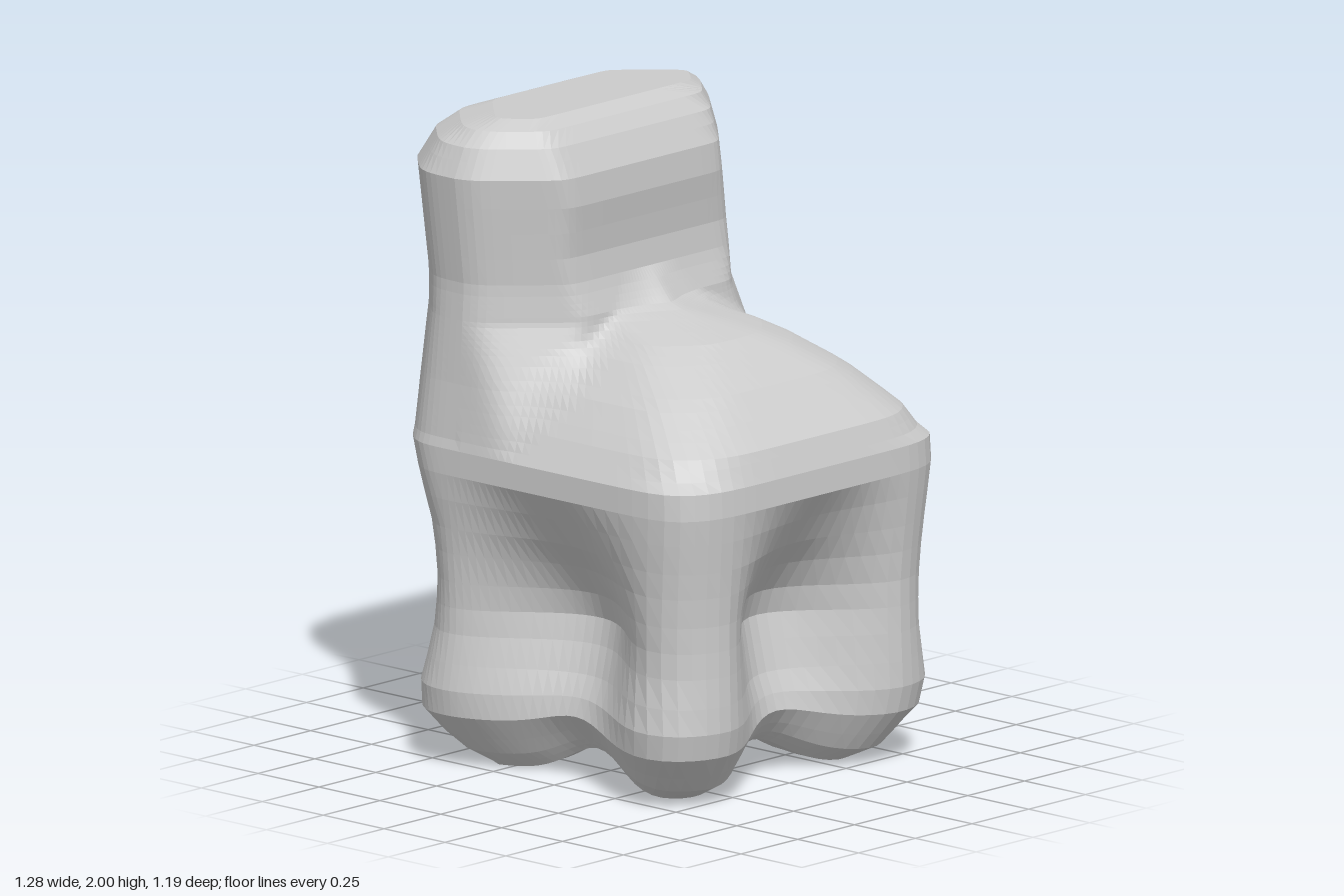
import * as THREE from 'three';

// Piecewise-linear profile lookup: points are [y, value] pairs with rising y
function at(points, y) {
  if (y <= points[0][0]) return points[0][1];
  for (let i = 1; i < points.length; i++) {
    const [y0, v0] = points[i - 1], [y1, v1] = points[i];
    if (y <= y1) return v0 + (v1 - v0) * (y - y0) / (y1 - y0);
  }
  return points[points.length - 1][1];
}

// Base and seat outline by height
const seatLeft = [[0, -0.4], [0.05, -0.48], [0.1, -0.53], [0.17, -0.565], [0.25, -0.56], [0.4, -0.53], [0.6, -0.51], [0.75, -0.525], [0.95, -0.575], [1, -0.59], [1.02, -0.4]];
const seatRight = [[0, 0.44], [0.05, 0.53], [0.17, 0.605], [0.25, 0.62], [0.6, 0.615], [0.8, 0.63], [0.92, 0.64], [1, 0.635], [1.09, 0.6], [1.23, 0.45], [1.34, 0.28], [1.41, 0.0], [1.5, -0.12]];
const seatDepth = [[0, 0.43], [0.05, 0.49], [0.17, 0.58], [0.25, 0.59], [0.45, 0.56], [0.7, 0.575], [0.9, 0.597], [1, 0.595], [1.1, 0.53], [1.2, 0.44], [1.3, 0.32], [1.37, 0.2], [1.41, 0.12], [1.5, 0.06]];

// Backrest outline by height
const backLeft = [[1, -0.59], [1.2, -0.61], [1.5, -0.63], [1.84, -0.64], [1.93, -0.6], [1.975, -0.55], [2, -0.48]];
const backRight = [[1, 0], [1.41, -0.04], [1.5, -0.07], [1.6, -0.08], [1.75, -0.06], [1.84, -0.065], [1.93, -0.11], [1.975, -0.15], [2, -0.21]];
const backFront = [[1, 0.59], [1.2, 0.57], [1.5, 0.55], [1.84, 0.59], [1.93, 0.55], [1.975, 0.5], [2, 0.42]];
const backRear = [[1, 0.59], [1.2, 0.575], [1.5, 0.555], [1.7, 0.53], [1.84, 0.51], [1.93, 0.48], [1.975, 0.45], [2, 0.41]];

// Depth of the hollows between the legs
const hollow = [[0, 0.12], [0.15, 0.13], [0.3, 0.18], [0.5, 0.22], [0.6, 0.19], [0.75, 0.09], [0.92, 0]];

const CX = -0.3, SIDES = 144;
const bell = (v, w) => Math.exp(-((v / w) ** 2));
const dip = (v, w) => Math.abs(v) < w ? Math.cos(v / w * Math.PI / 2) ** 2 : 0;

// Distance from the axis to a softly chamfered rectangle
function chamferedRadius(c, s, x0, x1, front, rear, cut) {
  const a = c > 0 ? x1 - CX : CX - x0, b = s > 0 ? front : rear, n = 26;
  const u = Math.abs(c), v = Math.abs(s);
  const k = Math.min(cut, Math.min(a, b) * 0.9);
  return ((u / a) ** n + (v / b) ** n + ((u + v) / (a + b - k)) ** n) ** (-1 / n);
}

function smoothMax(a, b, k) {
  const h = Math.max(k - Math.abs(a - b), 0) / k;
  return Math.max(a, b) + h * h * k / 4;
}

// Raised arches under the body that leave four feet
const archLift = (x, z) => 0.09 * bell(x - 0.03, 0.14) + 0.11 * bell(z, 0.17);

// Outline of the chair at one height
function section(y) {
  const ring = [];
  const depth = at(hollow, y), d = at(seatDepth, y);
  for (let i = 0; i < SIDES; i++) {
    const t = i / SIDES * Math.PI * 2, c = Math.cos(t), s = Math.sin(t);
    const seat = chamferedRadius(c, s, at(seatLeft, y), at(seatRight, y), d, d, y > 1 ? 0.13 : 0.1);
    const cut = 0.1 + (c > 0 ? 0.14 : 0.07) * Math.min(1, Math.max(0, (y - 1) / 0.4));
    const back = chamferedRadius(c, s, at(backLeft, y), at(backRight, y), at(backFront, y), at(backRear, y), cut);
    let r = seat;
    if (y > 1.5) r = back;
    else if (y > 1) r = smoothMax(seat, back, 0.01 + 0.12 * Math.min(1, (y - 1) / 0.25));
    let x = CX + r * c, z = r * s;
    // Press the hollows into all four sides
    const zPush = depth * dip(x - 0.04, 0.43) * Math.min(1, (z / 0.5) ** 2);
    const xPush = depth * dip(z, 0.41) * Math.min(1, ((x - 0.03) / 0.5) ** 2) * (x > 0 ? 1.15 : 0.9);
    z -= Math.sign(z) * zPush;
    x -= Math.sign(x - 0.03) * xPush;
    ring.push([x, y + archLift(x, z) * Math.max(0, 1 - y / 0.3), z]);
  }
  return ring;
}

function bodyGeometry() {
  const heights = [0.002, 0.025, 0.05, 0.1, 0.17, 0.25, 0.33, 0.42, 0.5, 0.58, 0.67, 0.75, 0.84, 0.92, 1,
    1.03, 1.06, 1.09, 1.13, 1.16, 1.2, 1.23, 1.27, 1.3, 1.32, 1.34, 1.36, 1.38, 1.395, 1.41, 1.43, 1.45, 1.475, 1.51,
    1.59, 1.67, 1.75, 1.84, 1.89, 1.93, 1.975, 2];
  const sides = heights.map(section);
  const rings = [];
  // Underside, closing in towards the middle
  for (const k of [0, 0.2, 0.4, 0.6, 0.8]) {
    rings.push(sides[0].map(([px, , pz]) => {
      const x = 0.03 + (px - 0.03) * k, z = pz * k;
      return [x, 0.002 + archLift(x, z), z];
    }));
  }
  rings.push(...sides);

  const index = [];
  for (let j = 0; j < rings.length - 1; j++) {
    for (let i = 0; i < SIDES; i++) {
      const a = j * SIDES + i, b = j * SIDES + (i + 1) % SIDES;
      index.push(a, a + SIDES, b + SIDES);
      if (j > 0) index.push(a, b + SIDES, b);
    }
  }
  // Flat top of the backrest
  const last = (rings.length - 1) * SIDES;
  for (let i = 0; i < SIDES; i++) index.push(last + i, last + SIDES, last + (i + 1) % SIDES);
  rings.push([[-0.35, 2, 0]]);

  const geometry = new THREE.BufferGeometry();
  geometry.setAttribute('position', new THREE.Float32BufferAttribute(rings.flat(2), 3));
  geometry.setIndex(index);
  geometry.computeVertexNormals();
  return geometry;
}

export function createModel() {
  const group = new THREE.Group();
  group.name = 'armchair';
  const material = new THREE.MeshStandardMaterial({ color: 0xcccccc, flatShading: true });
  const body = new THREE.Mesh(bodyGeometry(), material);
  body.name = 'chairBody';
  group.add(body);
  return group;
}
